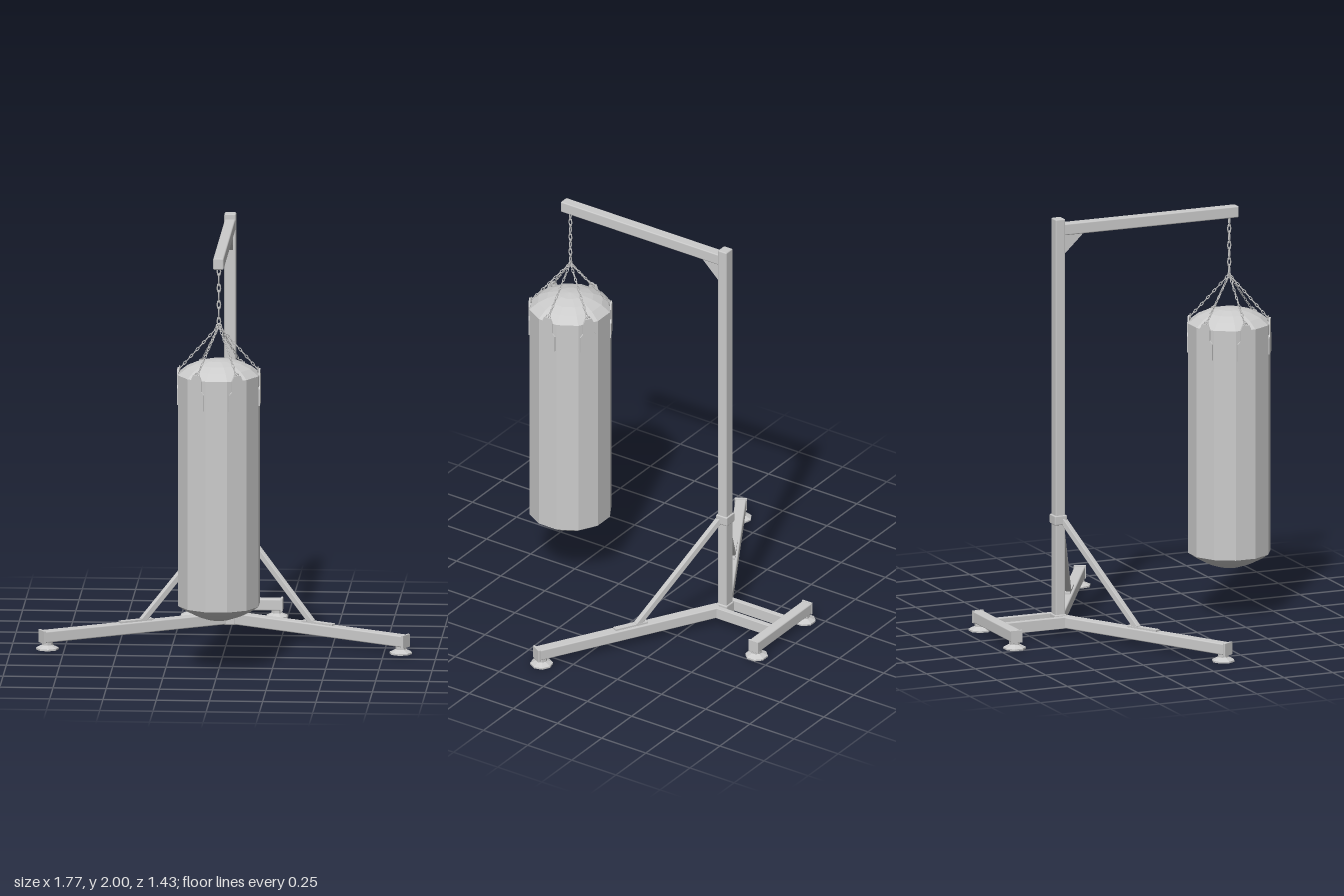
import * as THREE from 'three';
import { RoundedBoxGeometry } from 'three/addons/geometries/RoundedBoxGeometry.js';

const steel = new THREE.MeshStandardMaterial({ color: 0xcccccc });
const faceted = new THREE.MeshStandardMaterial({ color: 0xcccccc, flatShading: true });
const BAG_Z = 0.525, POST_Z = -0.352;

function add(parent, name, geometry, material, x = 0, y = 0, z = 0) {
  const mesh = new THREE.Mesh(geometry, material);
  mesh.name = name;
  mesh.position.set(x, y, z);
  parent.add(mesh);
  return mesh;
}

// Steel tube with softened edges
function tube(parent, name, w, h, d, x, y, z) {
  return add(parent, name, new RoundedBoxGeometry(w, h, d, 1, Math.min(w, h, d) * 0.12), steel, x, y, z);
}

function lathe(points, sides, phiStart = 0) {
  return new THREE.LatheGeometry(points.map(p => new THREE.Vector2(...p)), sides, phiStart);
}

function prism(points, depth) {
  const shape = new THREE.Shape(points.map(p => new THREE.Vector2(...p)));
  return new THREE.ExtrudeGeometry(shape, { depth, bevelEnabled: false });
}

// Links between two points, each turned a quarter from the last
function chain(parent, name, from, to, count, width) {
  const group = new THREE.Group();
  group.name = name;
  const length = from.distanceTo(to), pitch = length / count;
  const tubeRadius = width * 0.15;
  const link = new THREE.TorusGeometry(width / 2 - tubeRadius, tubeRadius, 4, 8);
  link.scale(1, pitch * 1.3 / width, 1);
  for (let i = 0; i < count; i++) {
    add(group, 'chainLink', link, steel, 0, (i + 0.5) * pitch, 0).rotation.y = (i % 2) * Math.PI / 2;
  }
  group.position.copy(from);
  group.quaternion.setFromUnitVectors(new THREE.Vector3(0, 1, 0), to.clone().sub(from).normalize());
  parent.add(group);
}

function foot(parent, x, z) {
  const profile = [[0, 0], [0.054, 0], [0.054, 0.008], [0.032, 0.018], [0.026, 0.022], [0.026, 0.04], [0, 0.04]];
  add(parent, 'foot', lathe(profile, 8, Math.PI / 8), faceted, x, 0, z);
}

// One half of the base: leg, diagonal brace, rear rail and feet
function baseSide(side) {
  const group = new THREE.Group();
  group.name = side > 0 ? 'leftBase' : 'rightBase';

  const leg = new THREE.Group();
  leg.name = 'leg';
  leg.position.set(0.03, 0, -0.337);
  leg.rotation.y = -Math.PI / 6;
  tube(leg, 'legTube', 0.95, 0.055, 0.052, 0.475, 0.0625, 0);
  tube(leg, 'legEndCap', 0.012, 0.062, 0.058, 0.95, 0.0625, 0);
  tube(leg, 'bracePlate', 0.17, 0.01, 0.028, 0.46, 0.094, 0);
  foot(leg, 0.924, 0);
  group.add(leg);

  const top = new THREE.Vector3(0.012, 0.555, -0.338), bottom = new THREE.Vector3(0.4, 0.09, -0.123);
  const mid = top.clone().lerp(bottom, 0.5);
  tube(group, 'brace', 0.028, 0.028, top.distanceTo(bottom), mid.x, mid.y, mid.z).lookAt(bottom);

  tube(group, 'rearRail', 0.026, 0.055, 0.31, 0.053, 0.0625, -0.49);
  foot(group, 0.2, -0.665);
  group.scale.x = side;
  return group;
}

function createBag() {
  const bag = new THREE.Group();
  bag.name = 'bag';
  bag.position.z = BAG_Z;

  // Twelve-sided body with shallow domed ends
  const profile = [[0, 0.235], [0.055, 0.241], [0.11, 0.26], [0.155, 0.283], [0.196, 0.31],
    [0.196, 1.415], [0.155, 1.447], [0.11, 1.467], [0.055, 1.481], [0, 1.486]];
  add(bag, 'bagBody', lathe(profile, 12, Math.PI / 12), faceted);

  // Six straps, each with its ring and chain to the common hook
  const strap = prism([[-0.043, 1.272], [0.043, 1.272], [0.043, 1.35], [0.028, 1.365], [0.028, 1.415],
    [0.017, 1.44], [-0.017, 1.44], [-0.028, 1.415], [-0.028, 1.365], [-0.043, 1.35]], 0.008);
  const ring = new THREE.TorusGeometry(0.013, 0.003, 4, 8);
  for (let i = 0; i < 6; i++) {
    const hanger = new THREE.Group();
    hanger.name = 'hanger';
    hanger.rotation.y = Math.PI / 2 + i * Math.PI / 3;
    add(hanger, 'strap', strap, faceted, 0, 0, 0.187);
    add(hanger, 'strapRing', ring, steel, 0, 1.438, 0.184);
    chain(hanger, 'strapChain', new THREE.Vector3(0, 1.44, 0.182), new THREE.Vector3(0, 1.64, 0.004), 12, 0.015);
    bag.add(hanger);
  }
  add(bag, 'hookRing', new THREE.TorusGeometry(0.012, 0.004, 5, 10), steel, 0, 1.642, 0);
  chain(bag, 'mainChain', new THREE.Vector3(0, 1.645, 0), new THREE.Vector3(0, 1.925, 0), 7, 0.023);
  return bag;
}

export function createModel() {
  const model = new THREE.Group();
  model.name = 'heavyBagStand';

  // Upright, arm and corner gusset
  tube(model, 'post', 0.055, 1.97, 0.05, 0, 1.015, POST_Z);
  tube(model, 'postCollar', 0.066, 0.046, 0.064, 0, 0.55, POST_Z);
  tube(model, 'postSocket', 0.066, 0.066, 0.062, 0, 0.063, POST_Z);
  tube(model, 'arm', 0.05, 0.055, 0.9, 0, 1.947, 0.115);
  const gusset = prism([[0, 0], [0, -0.095], [0.1, 0]], 0.03);
  gusset.translate(0, 0, -0.015).rotateY(-Math.PI / 2);
  add(model, 'gusset', gusset, faceted, 0, 1.922, -0.328);

  // Base
  for (const side of [1, -1]) model.add(baseSide(side));
  tube(model, 'rearBar', 0.45, 0.055, 0.052, 0, 0.0625, -0.665);
  for (const x of [-0.223, 0.223]) tube(model, 'rearEndCap', 0.01, 0.06, 0.056, x, 0.0625, -0.665);

  model.add(createBag());
  return model;
}
